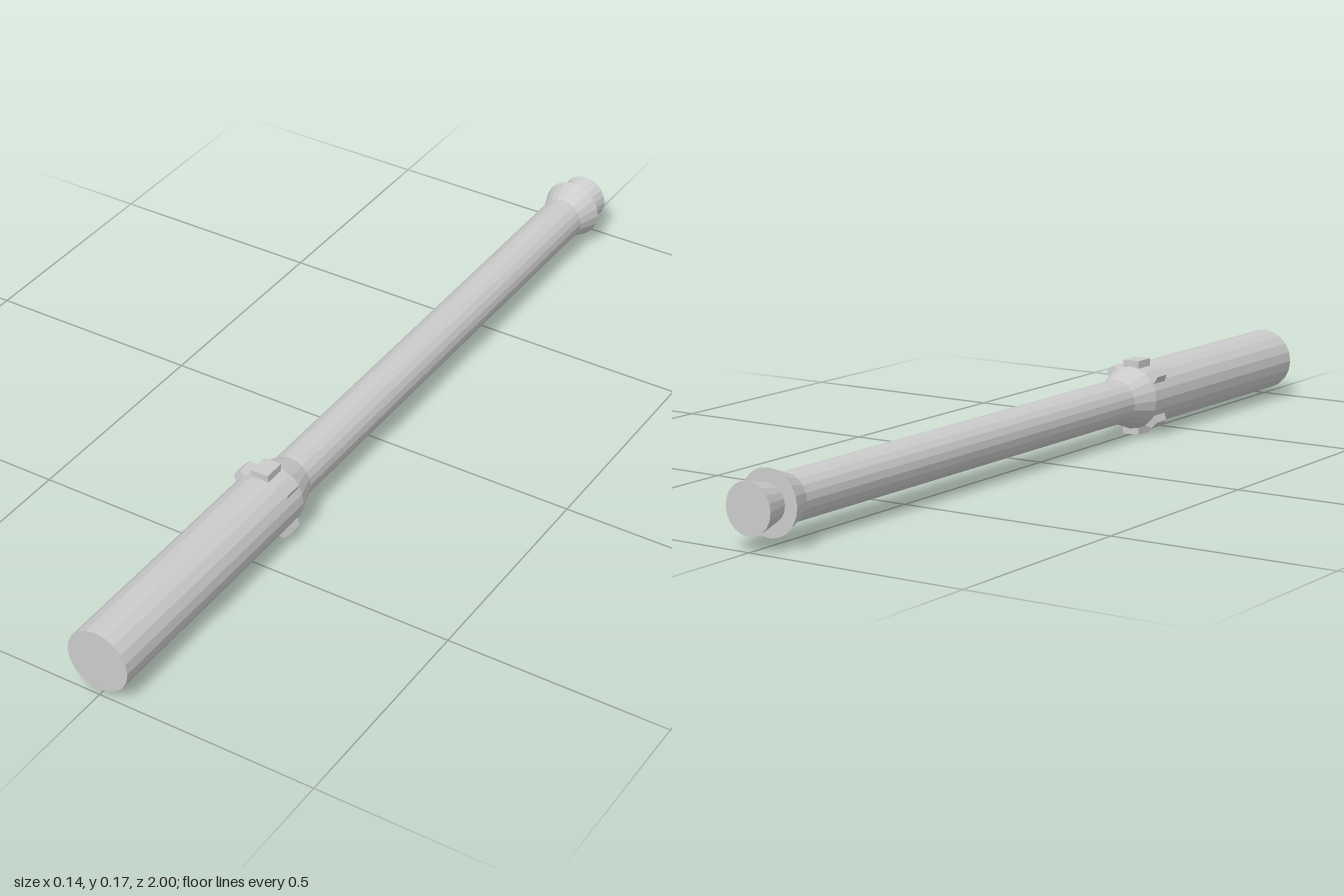
import * as THREE from 'three';

const AXIS_Y = 0.086;
const SIDES = 20;

export function createModel() {
  const group = new THREE.Group();
  const material = new THREE.MeshStandardMaterial({ color: 0xcccccc, flatShading: true });

  // Turned part along z; profile holds [radius, z] from back to front
  function turned(name, profile) {
    const points = profile.map(([r, z]) => new THREE.Vector2(r, z));
    const geometry = new THREE.LatheGeometry(points, SIDES);
    geometry.rotateX(Math.PI / 2);
    const mesh = new THREE.Mesh(geometry, material);
    mesh.name = name;
    mesh.position.y = AXIS_Y;
    group.add(mesh);
  }

  // Thick grip with a tapered shoulder
  turned('grip', [[0.051, 0.31], [0.072, 0.37], [0.072, 1], [0, 1]]);
  // Slim shaft ending in a flared collar
  turned('shaft', [[0, -0.938], [0.07, -0.938], [0.051, -0.885], [0.051, 0.31]]);
  // Flared end cap behind the collar
  turned('endCap', [[0, -1], [0.055, -1], [0.04, -0.938]]);

  // Ring of six lugs: straight blocks above and below, tapered ones on the diagonals
  const lugs = new THREE.Group();
  lugs.name = 'lugRing';
  lugs.position.set(0, AXIS_Y, 0.4);
  for (const angle of [0, 45, 135, 180, 225, 315]) {
    const straight = angle % 180 === 0;
    const geometry = new THREE.BoxGeometry(0.041, 0.026, 0.05);
    const p = geometry.attributes.position;
    if (!straight) {
      for (let i = 0; i < p.count; i++) {
        if (p.getY(i) > 0) p.setXYZ(i, p.getX(i) * 0.52, p.getY(i), p.getZ(i) * 0.8);
      }
    }
    geometry.translate(0, straight ? 0.073 : 0.0725, 0);
    geometry.computeVertexNormals();
    const lug = new THREE.Mesh(geometry, material);
    lug.name = 'lug';
    lug.rotation.z = THREE.MathUtils.degToRad(angle);
    lugs.add(lug);
  }
  group.add(lugs);

  return group;
}
